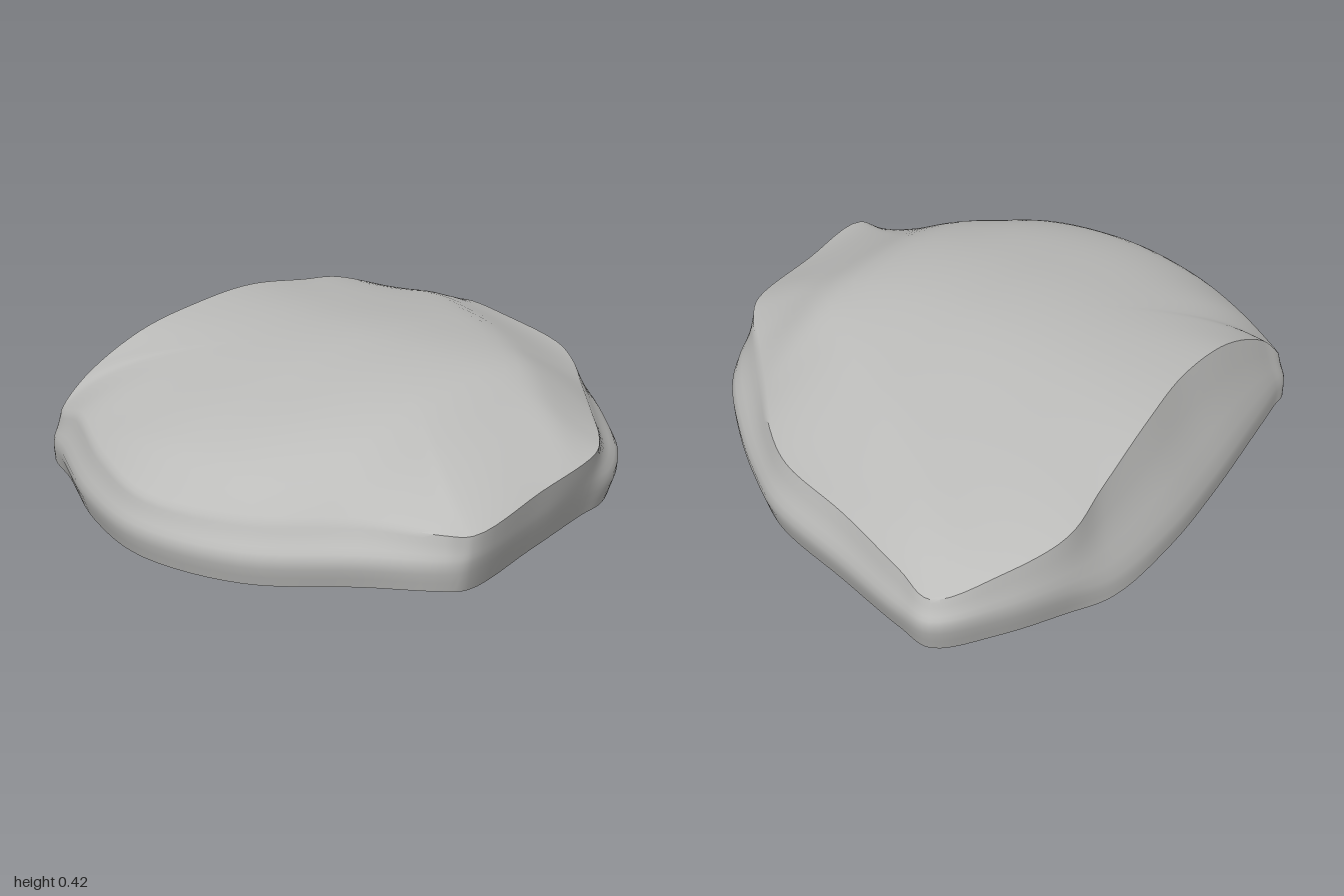
import * as THREE from 'three';
import { toCreasedNormals } from 'three/addons/utils/BufferGeometryUtils.js';

// Stations around the rock: outline x, z, then rim scale toward the centre, rim height.
// inset scales the footprint, belly is the height of the outline.
const sides = [
  { inset: 0.965, belly: 0.1, points: [ // flat, undercut right face
    [0.845, 0.525, 1.01, 0.185], [0.81, 0.2, 1.018, 0.2], [0.77, -0.1, 1.02, 0.212]] },
  { inset: 0.97, belly: 0.09, points: [ // sloping break at the back
    [0.755, -0.22, 0.95, 0.215], [0.66, -0.39, 0.885, 0.22], [0.48, -0.57, 0.885, 0.22],
    [0.29, -0.72, 0.92, 0.22], [0.12, -0.825, 0.935, 0.22], [-0.18, -0.91, 0.945, 0.22], [-0.45, -0.985, 0.962, 0.2]] },
  { inset: 0.975, belly: 0.1, points: [ // rounded back corner
    [-0.57, -1, 0.972, 0.17], [-0.7, -0.84, 0.982, 0.22], [-0.8, -0.66, 0.98, 0.28]] },
  { inset: 1, belly: 0.07, points: [ // steep left face
    [-0.85, -0.5, 0.905, 0.32], [-0.865, -0.2, 0.86, 0.375], [-0.84, 0.1, 0.85, 0.385],
    [-0.8, 0.4, 0.89, 0.35], [-0.77, 0.61, 0.945, 0.25], [-0.758, 0.685, 0.975, 0.16]] },
  { inset: 0.98, belly: 0.085, points: [ // rounded front
    [-0.6, 0.78, 0.945, 0.21], [-0.3, 0.93, 0.95, 0.2], [0, 1, 0.96, 0.18],
    [0.34, 0.92, 0.95, 0.18], [0.6, 0.71, 0.945, 0.18], [0.79, 0.57, 0.98, 0.17]] },
];

// Height profiles of the crown along x and along z
const alongX = [[-0.9, 0.38], [-0.4, 0.4], [0, 0.418], [0.4, 0.4], [0.6, 0.31], [0.9, 0.16]];
const alongZ = [[-1, 0.2], [-0.8, 0.28], [-0.4, 0.37], [0, 0.418], [0.4, 0.385], [0.8, 0.28], [1, 0.12]];

function profile(table, v) {
  let i = 0;
  while (i < table.length - 2 && v > table[i + 1][0]) i++;
  const slope = (k) => {
    const a = table[Math.max(k - 1, 0)], b = table[Math.min(k + 1, table.length - 1)];
    return (b[1] - a[1]) / (b[0] - a[0]);
  };
  const [x0, y0] = table[i], [x1, y1] = table[i + 1];
  const w = x1 - x0, t = THREE.MathUtils.clamp((v - x0) / w, 0, 1), s = 1 - t;
  return s * s * (1 + 2 * t) * y0 + t * t * (3 - 2 * t) * y1 + w * t * s * (s * slope(i) - t * slope(i + 1));
}

// Crown height, falling away softly past a diagonal ridge at the back right
function crown(x, z) {
  const past = 0.55 * x - 0.83 * z - 0.41;
  const drop = 0.22 * (past + Math.sqrt(past * past + 0.002));
  return profile(alongX, x) + profile(alongZ, z) - 0.418 - drop;
}

function rockGeometry() {
  const WALL = 9, INNER = 18;
  const base = [], wide = [], middle = [], rim = [];
  for (const { inset, belly, points } of sides) {
    for (const [x, z, scale, height] of points) {
      const at = (s, y) => new THREE.Vector3(x * s, y, z * s);
      base.push(at(inset, 0));
      wide.push(at(1, belly));
      middle.push(at(0.42 + 0.58 * scale, 0.47 * belly + 0.53 * height));
      rim.push(at(scale, height));
    }
  }
  const SEG = base.length * 6;
  const outlines = [base, wide, middle, rim].map((list) => new THREE.CatmullRomCurve3(list, true, 'centripetal'));

  // Curved wall from the footprint up to the rim
  const rings = Array.from({ length: WALL + 1 }, () => []);
  for (let i = 0; i < SEG; i++) {
    const section = new THREE.CatmullRomCurve3(outlines.map((o) => o.getPoint(i / SEG)), false, 'centripetal');
    rings.forEach((ring, r) => ring.push(section.getPoint(r / WALL)));
  }

  // Shrinking rings follow the crown and ease into the rim
  const edge = rings[WALL];
  for (let k = 1; k < INNER; k++) {
    const t = 1 - Math.pow(k / INNER, 1.5);
    rings.push(edge.map((p) => {
      const x = p.x * t, z = p.z * t;
      const y = crown(x, z) + (p.y - crown(p.x, p.z)) * Math.pow(t, 6);
      return new THREE.Vector3(x, y, z);
    }));
  }

  const position = [], index = [];
  rings.forEach((ring) => ring.forEach((p) => position.push(p.x, Math.max(p.y, 0), p.z)));
  const top = position.length / 3, bottom = top + 1, last = (rings.length - 1) * SEG;
  position.push(0, crown(0, 0), 0, 0, 0, 0);
  for (let i = 0; i < SEG; i++) {
    const j = (i + 1) % SEG;
    for (let r = 0; r < rings.length - 1; r++) {
      const a = r * SEG + i, b = r * SEG + j, c = b + SEG, d = a + SEG;
      index.push(a, b, c, a, c, d);
    }
    index.push(last + i, last + j, top, j, i, bottom);
  }
  const geometry = new THREE.BufferGeometry();
  geometry.setAttribute('position', new THREE.Float32BufferAttribute(position, 3));
  geometry.setIndex(index);
  return toCreasedNormals(geometry, THREE.MathUtils.degToRad(42));
}

export function createModel() {
  const group = new THREE.Group();
  group.name = 'flatRock';
  const stone = new THREE.MeshStandardMaterial({ color: 0xbcbcba });
  stone.name = 'grey stone';
  const rock = new THREE.Mesh(rockGeometry(), stone);
  rock.name = 'rock';
  group.add(rock);
  return group;
}
